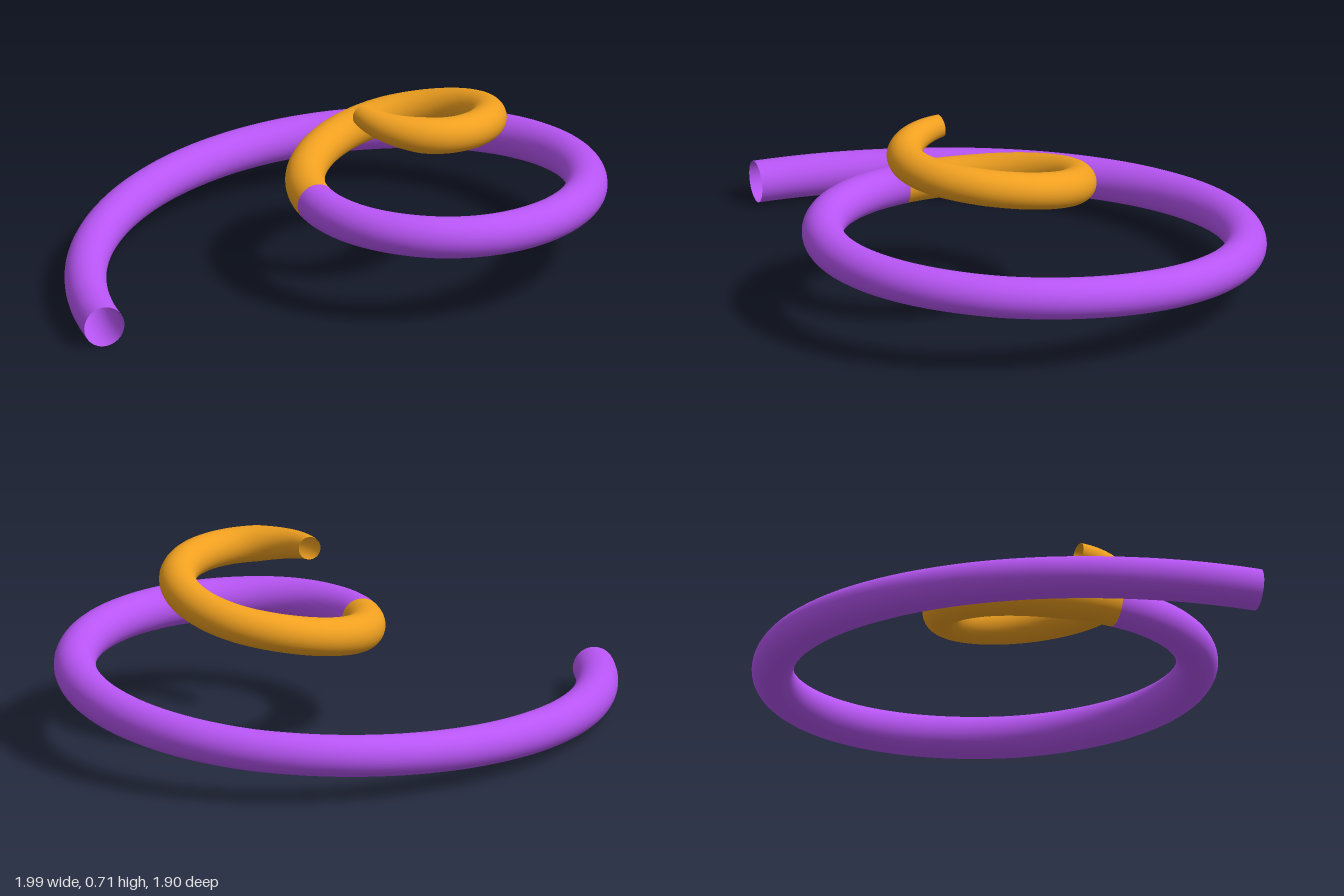
import * as THREE from 'three';

// Outermost points of the coil, one per quarter turn: x, y, z, tube radius
const KEYS = [
  [0.33, 0.05, 1.87, 0.0775],
  [-0.92, 0.1, 0.4, 0.0775],
  [0.09, 0.2, -0.88, 0.0775],
  [0.917, 0.312, 0.0, 0.0775],
  [0.36, 0.357, 0.68, 0.0775],
  [-0.117, 0.392, 0.16, 0.073],
  [0.235, 0.5, -0.26, 0.07],
  [0.557, 0.605, 0.08, 0.068],
  [0.32, 0.645, 0.378, 0.067],
  [0.07, 0.68, 0.13, 0.031],
];
const START = 0.768, JOIN = 4.715, END = 8.69;

// Catmull-Rom interpolation of the height
function heightAt(i, f) {
  const y = (k) => KEYS[Math.min(Math.max(k, 0), KEYS.length - 1)][1];
  const m0 = (y(i + 1) - y(i - 1)) / 2, m1 = (y(i + 2) - y(i)) / 2;
  const f2 = f * f, f3 = f2 * f;
  return (2 * f3 - 3 * f2 + 1) * y(i) + (f3 - 2 * f2 + f) * m0
    + (3 * f2 - 2 * f3) * y(i + 1) + (f3 - f2) * m1;
}

// Spiral made of quarter ellipses, rising as it winds inward
class Spiral extends THREE.Curve {
  constructor(from, to) {
    super();
    this.from = from;
    this.to = to;
    this.arcLengthDivisions = 600;
  }
  locate(t) {
    const u = this.from + (this.to - this.from) * t;
    const i = Math.min(Math.floor(u), KEYS.length - 2);
    return [i, u - i];
  }
  getPoint(t, target = new THREE.Vector3()) {
    const [i, f] = this.locate(t);
    const [x0, , z0] = KEYS[i], [x1, , z1] = KEYS[i + 1];
    const s = Math.sin(f * Math.PI / 2), c = 1 - Math.cos(f * Math.PI / 2);
    const [fx, fz] = i % 2 ? [c, s] : [s, c];
    return target.set(x0 + (x1 - x0) * fx, heightAt(i, f), z0 + (z1 - z0) * fz);
  }
  radiusAt(t) {
    const [i, f] = this.locate(t);
    return THREE.MathUtils.lerp(KEYS[i][3], KEYS[i + 1][3], f);
  }
}

// Open tube whose rings are scaled to the local radius
function coil(name, from, to, segments, color) {
  const path = new Spiral(from, to), sides = 32;
  const geometry = new THREE.TubeGeometry(path, segments, 1, sides, false);
  const pos = geometry.attributes.position;
  const v = new THREE.Vector3();
  for (let ring = 0; ring <= segments; ring++) {
    const t = path.getUtoTmapping(ring / segments);
    const centre = path.getPoint(t), radius = path.radiusAt(t);
    for (let k = 0; k <= sides; k++) {
      const n = ring * (sides + 1) + k;
      v.fromBufferAttribute(pos, n).sub(centre).multiplyScalar(radius).add(centre);
      pos.setXYZ(n, v.x, v.y, v.z);
    }
  }
  const material = new THREE.MeshStandardMaterial({ color, side: THREE.DoubleSide });
  const mesh = new THREE.Mesh(geometry, material);
  mesh.name = name;
  return mesh;
}

export function createModel() {
  const group = new THREE.Group();
  group.name = 'spiralCoil';
  group.add(
    coil('lowerCoil', START, JOIN, 200, 0xb855f5),
    coil('upperCoil', JOIN, END, 140, 0xf0a020),
  );
  return group;
}
